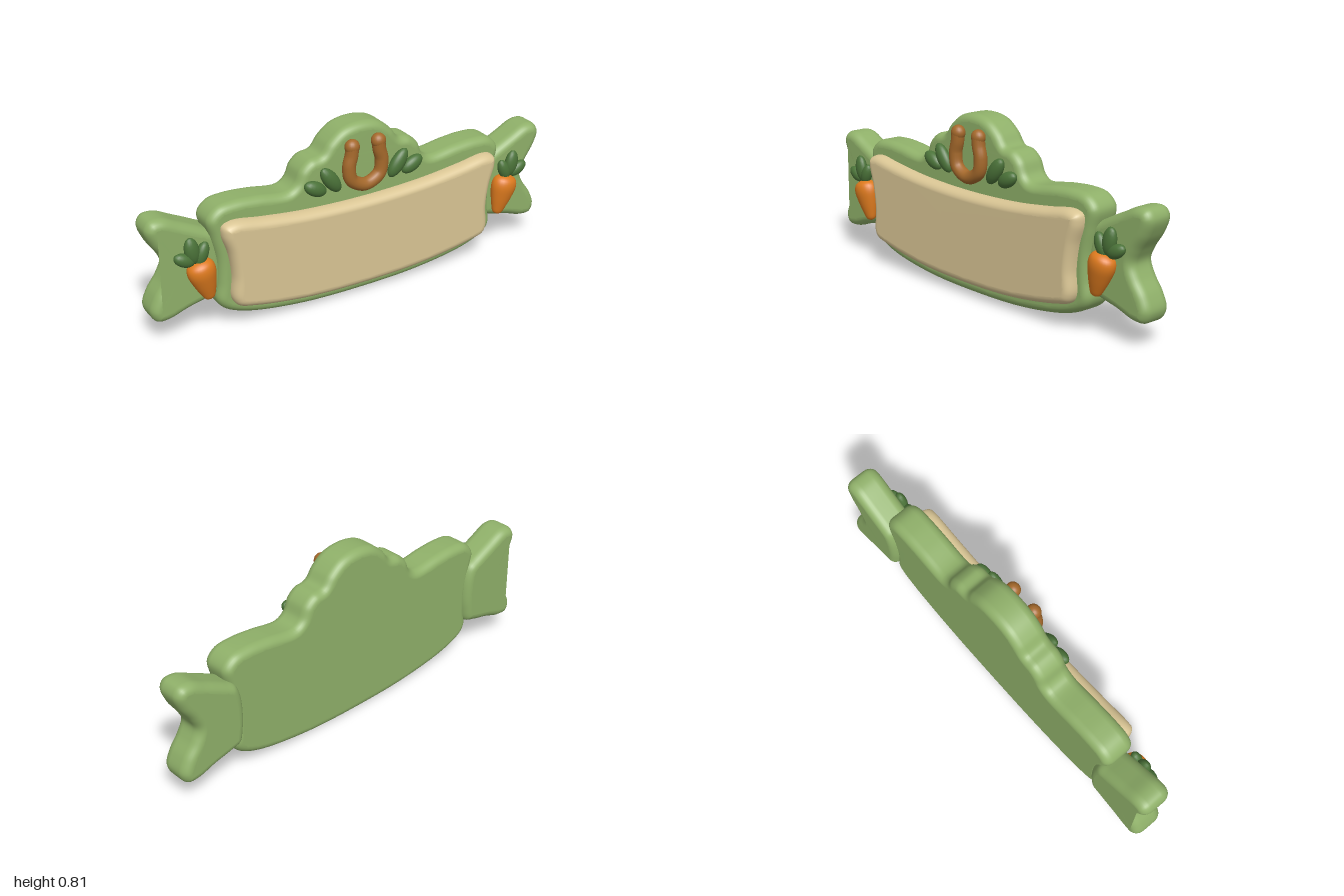
import * as THREE from 'three';
import { mergeVertices } from 'three/addons/utils/BufferGeometryUtils.js';

const paint = (name, color) => {
  const m = new THREE.MeshStandardMaterial({ color });
  m.name = name;
  return m;
};

// Closed smooth outline, extruded between two depths with rounded rims
function puffy(points, zBack, zFront, rim, rimDepth, samples) {
  const curve = new THREE.CatmullRomCurve3(
    points.map(([x, y]) => new THREE.Vector3(x, y, 0)), true, 'centripetal');
  const outline = curve.getPoints(samples).slice(0, -1).map(p => new THREE.Vector2(p.x, p.y));
  const geo = new THREE.ExtrudeGeometry(new THREE.Shape(outline), {
    depth: zFront - zBack - 2 * rimDepth, bevelEnabled: true, bevelSegments: 7,
    bevelSize: rim, bevelOffset: -rim, bevelThickness: rimDepth, steps: 1,
  });
  geo.translate(0, 0, zBack + rimDepth);
  geo.deleteAttribute('uv');
  geo.deleteAttribute('normal');
  const smooth = mergeVertices(geo, 1e-5);
  smooth.computeVertexNormals();
  return smooth;
}

// Right half listed from top centre to bottom centre, mirrored to the left
const mirrored = half =>
  [...half, ...half.slice(1, -1).reverse().map(([x, y]) => [-x, y])];

export function createModel() {
  const green = paint('boardGreen', 0x8fb069);
  const cream = paint('panelCream', 0xd9c594);
  const orange = paint('carrotOrange', 0xdd7a1e);
  const brown = paint('horseshoeBrown', 0xa5692b);
  const leafGreen = paint('leafGreen', 0x4b7339);

  const model = new THREE.Group();
  model.name = 'signBoard';
  const add = (parent, name, geo, mat) => {
    const mesh = new THREE.Mesh(geo, mat);
    mesh.name = name;
    parent.add(mesh);
    return mesh;
  };
  // Flattened ellipsoid leaf; angle is the lean of its long axis from +x
  const leaf = (parent, name, x, y, z, length, width, depth, angle) => {
    const mesh = add(parent, name, new THREE.SphereGeometry(1, 20, 14), leafGreen);
    mesh.scale.set(length / 2, width / 2, depth / 2);
    mesh.position.set(x, y, z);
    mesh.rotation.z = angle;
  };

  // Main board with the stepped crest
  const boardHalf = [
    [0, 0.816], [0.09, 0.8], [0.155, 0.752], [0.195, 0.703], [0.25, 0.692], [0.295, 0.655],
    [0.322, 0.598], [0.36, 0.574], [0.5, 0.59], [0.61, 0.597], [0.69, 0.585], [0.737, 0.535],
    [0.722, 0.45], [0.7, 0.34], [0.7, 0.23], [0.708, 0.15], [0.68, 0.105], [0.58, 0.058],
    [0.32, 0.014], [0, 0.002],
  ];
  add(model, 'board', puffy(mirrored(boardHalf), -0.092, 0.065, 0.036, 0.042, 240), green);

  // Raised writing panel
  const panelHalf = [
    [0, 0.475], [0.3, 0.486], [0.5, 0.509], [0.64, 0.528], [0.685, 0.512], [0.69, 0.47],
    [0.664, 0.38], [0.65, 0.27], [0.656, 0.17], [0.635, 0.13], [0.56, 0.106],
    [0.3, 0.067], [0, 0.056],
  ];
  add(model, 'panel', puffy(mirrored(panelHalf), 0.02, 0.119, 0.036, 0.046, 180), cream);

  // Swallow-tail ribbon ends
  const tail = [
    [0.7, 0.47], [0.745, 0.497], [0.84, 0.545], [0.92, 0.582], [0.975, 0.578], [0.998, 0.54],
    [0.975, 0.47], [0.93, 0.4], [0.908, 0.345], [0.93, 0.29], [0.975, 0.225], [0.998, 0.16],
    [0.975, 0.113], [0.92, 0.11], [0.83, 0.138], [0.74, 0.16], [0.69, 0.18], [0.672, 0.25],
    [0.668, 0.33], [0.678, 0.42],
  ];

  // Carrot profile from the blunt tip up to the shoulder
  const carrotCurve = new THREE.SplineCurve([
    [0, -0.1], [0.022, -0.092], [0.036, -0.06], [0.052, -0.01], [0.063, 0.04],
    [0.056, 0.075], [0.03, 0.093], [0, 0.096],
  ].map(p => new THREE.Vector2(...p)));
  const carrotProfile = carrotCurve.getPoints(28).map(p => p.setX(Math.max(0, p.x)));

  for (const s of [1, -1]) {
    const side = s > 0 ? 'left' : 'right';
    add(model, side + 'RibbonTail',
      puffy(tail.map(([x, y]) => [s * x, y]), -0.119, 0.035, 0.038, 0.046, 140), green);

    const carrot = new THREE.Group();
    carrot.name = side + 'Carrot';
    model.add(carrot);
    const root = add(carrot, 'carrotRoot', new THREE.LatheGeometry(carrotProfile, 28), orange);
    root.position.set(s * 0.77, 0.281, 0.055);
    root.rotation.z = -s * 0.24;
    root.scale.z = 0.82;
    const lean = a => (s > 0 ? a : Math.PI - a);
    leaf(carrot, 'carrotTopMiddle', s * 0.818, 0.428, 0.055, 0.125, 0.066, 0.05, lean(1.4));
    leaf(carrot, 'carrotTopOuter', s * 0.855, 0.394, 0.055, 0.1, 0.058, 0.05, lean(0.5));
    leaf(carrot, 'carrotTopInner', s * 0.775, 0.405, 0.057, 0.11, 0.056, 0.05, lean(1.95));

    // Leaf pair beside the horseshoe
    leaf(model, side + 'CrestLeafUpper', s * 0.17, 0.597, 0.078, 0.145, 0.068, 0.056, lean(0.95));
    leaf(model, side + 'CrestLeafLower', s * 0.245, 0.573, 0.076, 0.115, 0.066, 0.056, lean(0.5));
  }

  // Horseshoe: a bent tube with thicker rounded ends
  const shoe = new THREE.Group();
  shoe.name = 'horseshoe';
  model.add(shoe);
  const shoeHalf = [[0.066, 0.732], [0.07, 0.69], [0.082, 0.64], [0.07, 0.575], [0, 0.54]];
  const shoePath = new THREE.CatmullRomCurve3(
    [...shoeHalf, ...shoeHalf.slice(0, -1).reverse().map(([x, y]) => [-x, y])]
      .map(([x, y]) => new THREE.Vector3(x, y, 0.083)));
  add(shoe, 'horseshoeArc', new THREE.TubeGeometry(shoePath, 56, 0.03, 16), brown);
  for (const s of [1, -1]) {
    const end = add(shoe, 'horseshoeEnd', new THREE.SphereGeometry(0.034, 20, 14), brown);
    end.position.set(s * 0.066, 0.729, 0.082);
    end.scale.z = 0.92;
  }
  return model;
}
